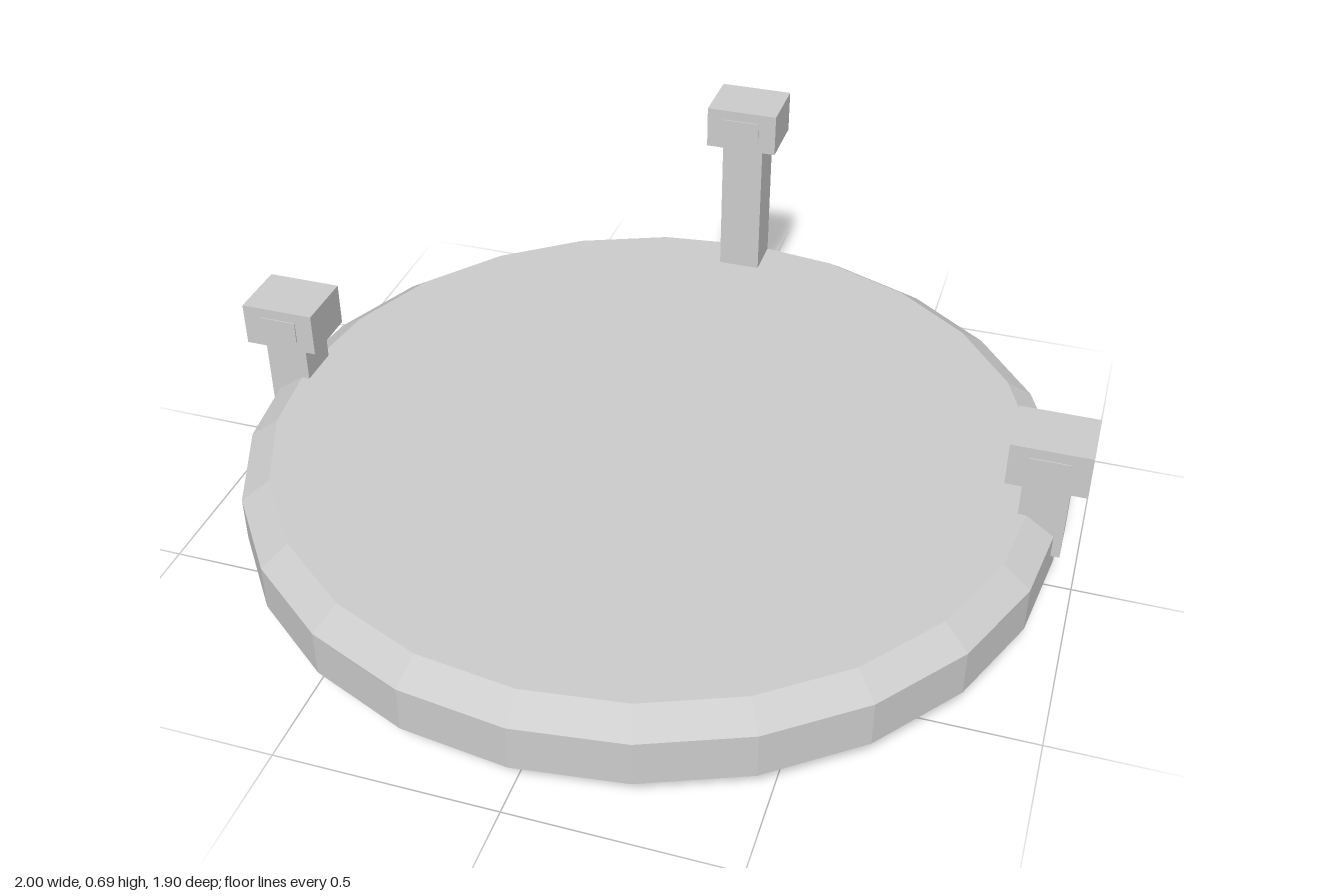
import * as THREE from 'three';

export function createModel() {
  const group = new THREE.Group();
  const grey = new THREE.MeshStandardMaterial({ color: 0xcccccc });
  grey.name = 'light grey';

  const add = (parent, name, geometry, x = 0, y = 0, z = 0) => {
    const mesh = new THREE.Mesh(geometry, grey);
    mesh.name = name;
    mesh.position.set(x, y, z);
    parent.add(mesh);
  };

  // Faceted round platform with bevelled rims
  const profile = [[0, 0], [0.825, 0], [0.95, 0.075], [0.95, 0.185], [0.885, 0.23], [0, 0.23]];
  const disc = new THREE.LatheGeometry(profile.map(([r, y]) => new THREE.Vector2(r, y)), 24).toNonIndexed();
  disc.computeVertexNormals();
  add(group, 'platform', disc);

  // Square post carrying a box head with a thin plate on its front face
  const addLamp = (name, x, z, bottom, headBottom) => {
    const lamp = new THREE.Group();
    lamp.name = name;
    lamp.position.set(x, 0, z);
    const postHeight = headBottom - bottom;
    add(lamp, 'post', new THREE.BoxGeometry(0.104, postHeight, 0.106), 0, bottom + postHeight / 2);
    add(lamp, 'head', new THREE.BoxGeometry(0.178, 0.105, 0.148), 0, headBottom + 0.0525);
    add(lamp, 'frontPlate', new THREE.BoxGeometry(0.09, 0.055, 0.004), 0, headBottom + 0.0525, 0.075);
    group.add(lamp);
  };
  for (const side of [-1, 1]) {
    addLamp(side > 0 ? 'leftLamp' : 'rightLamp', side * 0.911, 0, 0.13, 0.323);
  }
  addLamp('rearLamp', 0, -0.826, 0.2, 0.585);

  return group;
}
